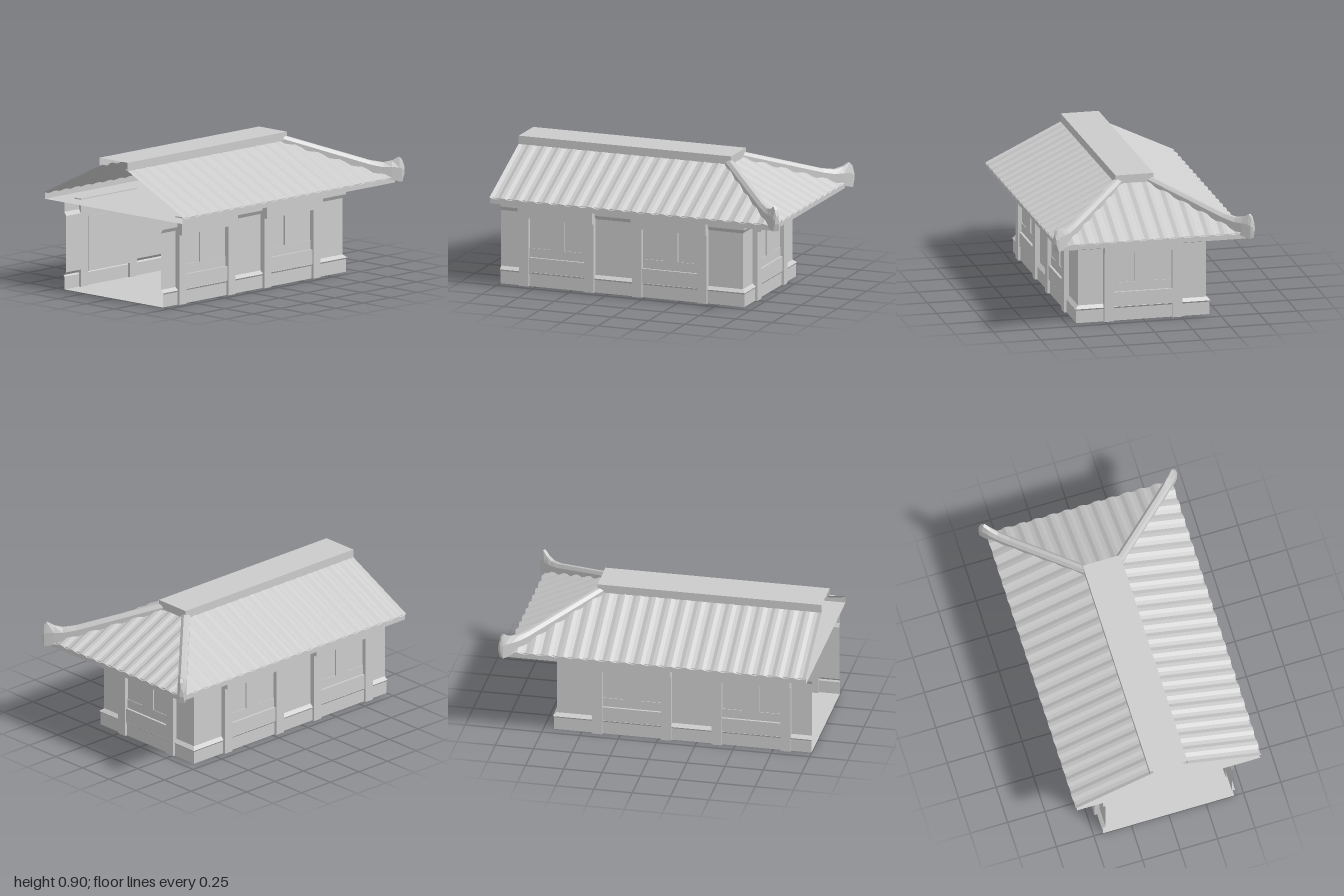
import * as THREE from 'three';

const material = new THREE.MeshStandardMaterial({ color: 0xcccccc, side: THREE.DoubleSide, flatShading: true });

// Surface through rows of points, with hard facets
function loft(rows) {
  const pos = [];
  for (let i = 0; i < rows.length - 1; i++) {
    for (let j = 0; j < rows[i].length - 1; j++) {
      const a = rows[i][j], b = rows[i][j + 1], c = rows[i + 1][j + 1], d = rows[i + 1][j];
      pos.push(...a, ...b, ...c, ...a, ...c, ...d);
    }
  }
  const geo = new THREE.BufferGeometry();
  geo.setAttribute('position', new THREE.Float32BufferAttribute(pos, 3));
  geo.computeVertexNormals();
  return geo;
}

function add(parent, name, geometry) {
  const mesh = new THREE.Mesh(geometry, material);
  mesh.name = name;
  parent.add(mesh);
  return mesh;
}

// Box given by its limits on each axis
function block(parent, name, x0, x1, y0, y1, z0, z1) {
  const mesh = add(parent, name, new THREE.BoxGeometry(x1 - x0, y1 - y0, z1 - z0));
  mesh.position.set((x0 + x1) / 2, (y0 + y1) / 2, (z0 + z1) / 2);
  return mesh;
}

const BACK = 0.245;     // extra depth of the back wall beyond the side walls
const HIP = 0.34;       // same for the roof
const EAVE = 0.62;
const slopeY = t => 0.603 + (EAVE - t) * 0.48;

// Window bay: two posts, a lintel, a window and a lower panel; local z is outward
function windowBay() {
  const bay = new THREE.Group();
  bay.name = 'windowBay';
  for (const s of [-1, 1]) {
    const c = s * 0.225;
    block(bay, 'post', c - 0.0325, c + 0.0325, 0, 0.57, 0.422, 0.455);
  }
  block(bay, 'lintel', -0.2575, 0.2575, 0.455, 0.574, 0.422, 0.478);
  block(bay, 'windowPanel', -0.1925, 0.1925, 0.25, 0.455, 0.418, 0.427);
  block(bay, 'windowMullion', -0.05, 0.05, 0.25, 0.455, 0.42, 0.437);
  block(bay, 'sillRail', -0.1925, 0.1925, 0.19, 0.25, 0.418, 0.431);
  block(bay, 'lowerPanel', -0.1925, 0.1925, 0.095, 0.19, 0.418, 0.446);
  return bay;
}

// Corrugated slope: a runs along the eave, t runs out from the ridge
function tileSlope(a0, a1, inner, place) {
  const rows = [];
  const steps = Math.round((a1 - a0) / 0.025);
  for (let i = 0; i <= steps; i++) {
    const a = a0 + (a1 - a0) * i / steps;
    const wave = 0.008 * Math.cos((a - 0.0125) * Math.PI * 20);
    const t = inner(a);
    rows.push([
      place(a, EAVE + wave * 0.4, slopeY(EAVE) + wave * 0.9),
      place(a, t + wave * 0.4, slopeY(t) + wave * 0.9),
    ]);
  }
  return loft(rows);
}

// Hip ridge on the diagonal: [t, bottom, shoulder, top, half width]
function hipRidge(side) {
  const stations = [
    [0.09, 0.80, 0.865, 0.885, 0.028],
    [0.50, 0.632, 0.69, 0.712, 0.028],
    [0.56, 0.606, 0.672, 0.698, 0.028],
    [0.60, 0.59, 0.672, 0.71, 0.028],
    [0.632, 0.578, 0.67, 0.735, 0.024],
    [0.645, 0.575, 0.66, 0.715, 0.022],
    [0.655, 0.625, 0.65, 0.675, 0.012],
  ];
  const rows = stations.map(([t, b, m, top, w]) => {
    const section = [[-w, b], [-w, m], [-w * 0.4, top], [w * 0.4, top], [w, m], [w, b], [-w, b]];
    return section.map(([o, y]) => [side * (t + o * 0.707), y, -(t + HIP) + o * 0.707]);
  });
  // Close both ends
  const cap = row => row.map(() => {
    const [p, q] = [row[0], row[5]];
    return [(p[0] + q[0]) / 2, p[1], (p[2] + q[2]) / 2];
  });
  return loft([cap(rows[0]), ...rows, cap(rows[rows.length - 1])]);
}

export function createModel() {
  const house = new THREE.Group();
  house.name = 'house';

  // Walls: moulded profile swept round three sides, open at the front
  const profile = [[0.438, 0], [0.438, 0.083], [0.445, 0.093], [0.422, 0.113],
    [0.422, 0.48], [0.438, 0.505], [0.438, 0.567]];
  add(house, 'walls', loft(profile.map(([d, y]) =>
    [[-d, y, 1], [-d, y, -d - BACK], [d, y, -d - BACK], [d, y, 1]]).reverse()));

  // Floor
  add(house, 'floor', loft([
    [[-0.438, 0, 1], [-0.438, 0, -0.683]],
    [[0.438, 0, 1], [0.438, 0, -0.683]],
  ]));

  // Window bays: two on each side and one at the back
  for (const s of [-1, 1]) {
    for (const z of [0.6075, -0.1725]) {
      const bay = windowBay();
      bay.rotation.y = s * Math.PI / 2;
      bay.position.z = z;
      house.add(bay);
    }
  }
  const backBay = windowBay();
  backBay.rotation.y = Math.PI;
  backBay.position.z = -BACK;
  house.add(backBay);

  // Soffit and the fascia round it
  const roof = new THREE.Group();
  roof.name = 'roof';
  house.add(roof);
  const e = 0.612, low = 0.567;
  add(roof, 'soffit', loft([
    [[-e, low, 1], [-e, low, -e - HIP]],
    [[e, low, 1], [e, low, -e - HIP]],
  ]));
  add(roof, 'fascia', loft([0.606, low].map(y =>
    [[-e, y, 1], [-e, y, -e - HIP], [e, y, -e - HIP], [e, y, 1]])));

  // Tiled slopes and hip ridges
  for (const s of [-1, 1]) {
    add(roof, 'sideSlope', tileSlope(-EAVE - HIP, 1, a => Math.max(0.1, -a - HIP),
      (a, t, y) => [s * t, y, a]));
    add(roof, 'hipRidge', hipRidge(s));
  }
  add(roof, 'backSlope', tileSlope(-EAVE, EAVE, a => Math.max(0.1, Math.abs(a)),
    (a, t, y) => [a, y, -t - HIP]));

  // Ridge cap: hollow, open at the front and below
  const w = 0.125, y0 = 0.845, y1 = 0.9, zb = -0.465;
  add(roof, 'ridgeCap', loft([
    [[-w, y0, 1], [-w, y1, 1], [w, y1, 1], [w, y0, 1]],
    [[-w, y0, zb], [-w, y1, zb], [w, y1, zb], [w, y0, zb]],
  ].reverse()));
  add(roof, 'ridgeEnd', loft([
    [[w, y0, zb], [w, y1, zb]],
    [[-w, y0, zb], [-w, y1, zb]],
  ]));

  return house;
}
